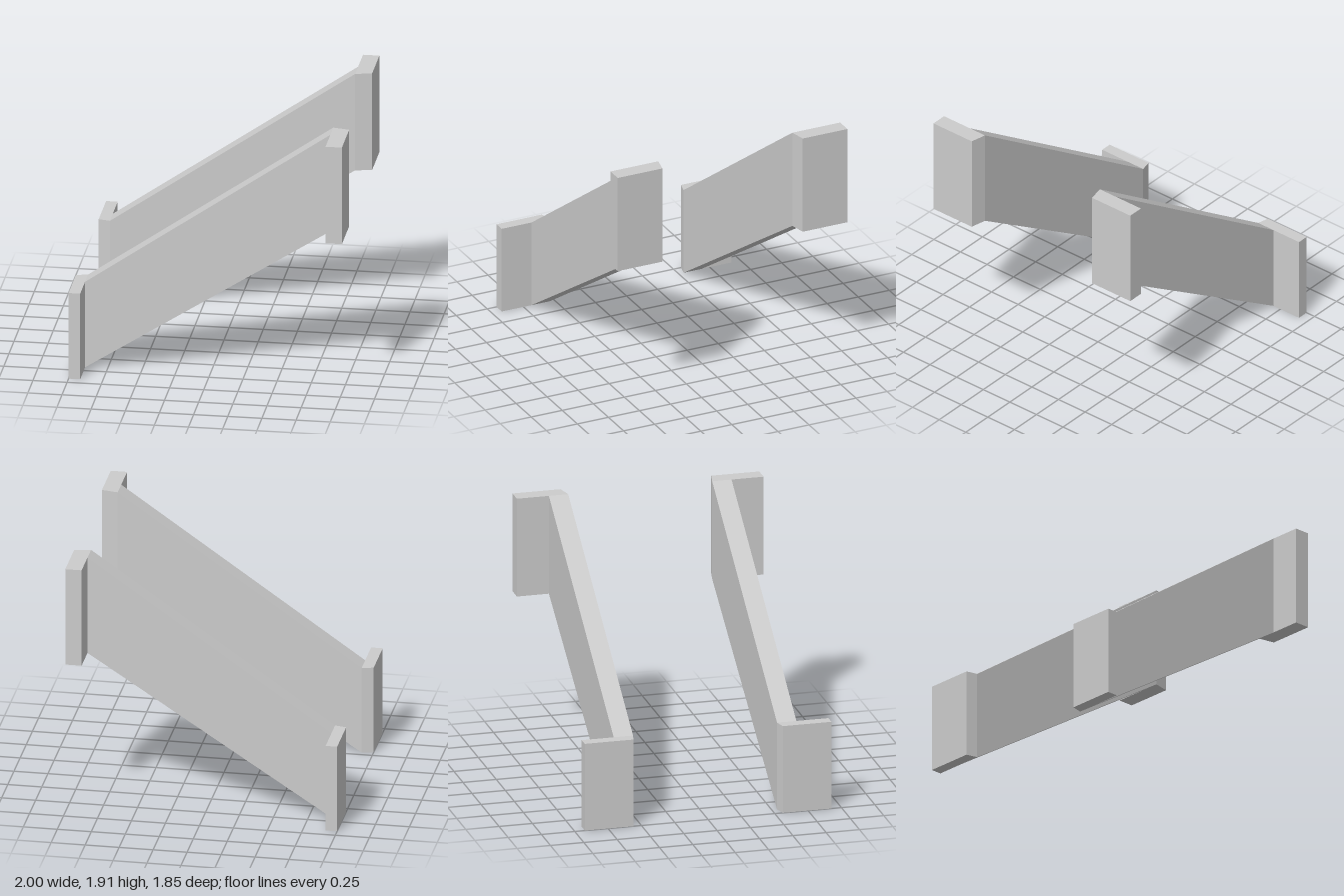
import * as THREE from 'three';

const material = new THREE.MeshStandardMaterial({ color: 0xcccccc, flatShading: true });

const INNER = 0.54, OUTER = 0.685, FLANGE = 0.925; // distances from the centre plane
const LOW = { x: -0.915, bottom: 0, top: 0.665 };
const HIGH = { x: 0.88, bottom: 1.16, top: 1.91 };

function extrude(points, depth) {
  const shape = new THREE.Shape(points.map(([x, y]) => new THREE.Vector2(x, y)));
  return new THREE.ExtrudeGeometry(shape, { depth, bevelEnabled: false });
}

function addMesh(group, name, geometry) {
  const mesh = new THREE.Mesh(geometry, material);
  mesh.name = name;
  group.add(mesh);
}

// Upright end flange with a chamfered inner corner, drawn in plan and raised
function flange(end, tipX, tipZ, side) {
  const plan = [[end.x, INNER], [tipX, tipZ], [tipX, FLANGE], [end.x, FLANGE]]
    .map(([x, z]) => [x, -side * z]);
  return extrude(plan, end.top - end.bottom)
    .rotateX(-Math.PI / 2)
    .translate(0, end.bottom, 0);
}

// Sloping web between the two flanges
function web(side) {
  const outline = [
    [LOW.x, LOW.bottom], [HIGH.x, HIGH.bottom],
    [HIGH.x, HIGH.top], [LOW.x, LOW.top],
  ];
  return extrude(outline, OUTER - INNER).translate(0, 0, side > 0 ? INNER : -OUTER);
}

export function createModel() {
  const model = new THREE.Group();
  model.name = 'stairStringers';
  for (const side of [1, -1]) {
    const stringer = new THREE.Group();
    stringer.name = side > 0 ? 'frontStringer' : 'backStringer';
    addMesh(stringer, 'web', web(side));
    addMesh(stringer, 'lowerFlange', flange(LOW, -1, 0.56, side));
    addMesh(stringer, 'upperFlange', flange(HIGH, 1, 0.565, side));
    model.add(stringer);
  }
  return model;
}
